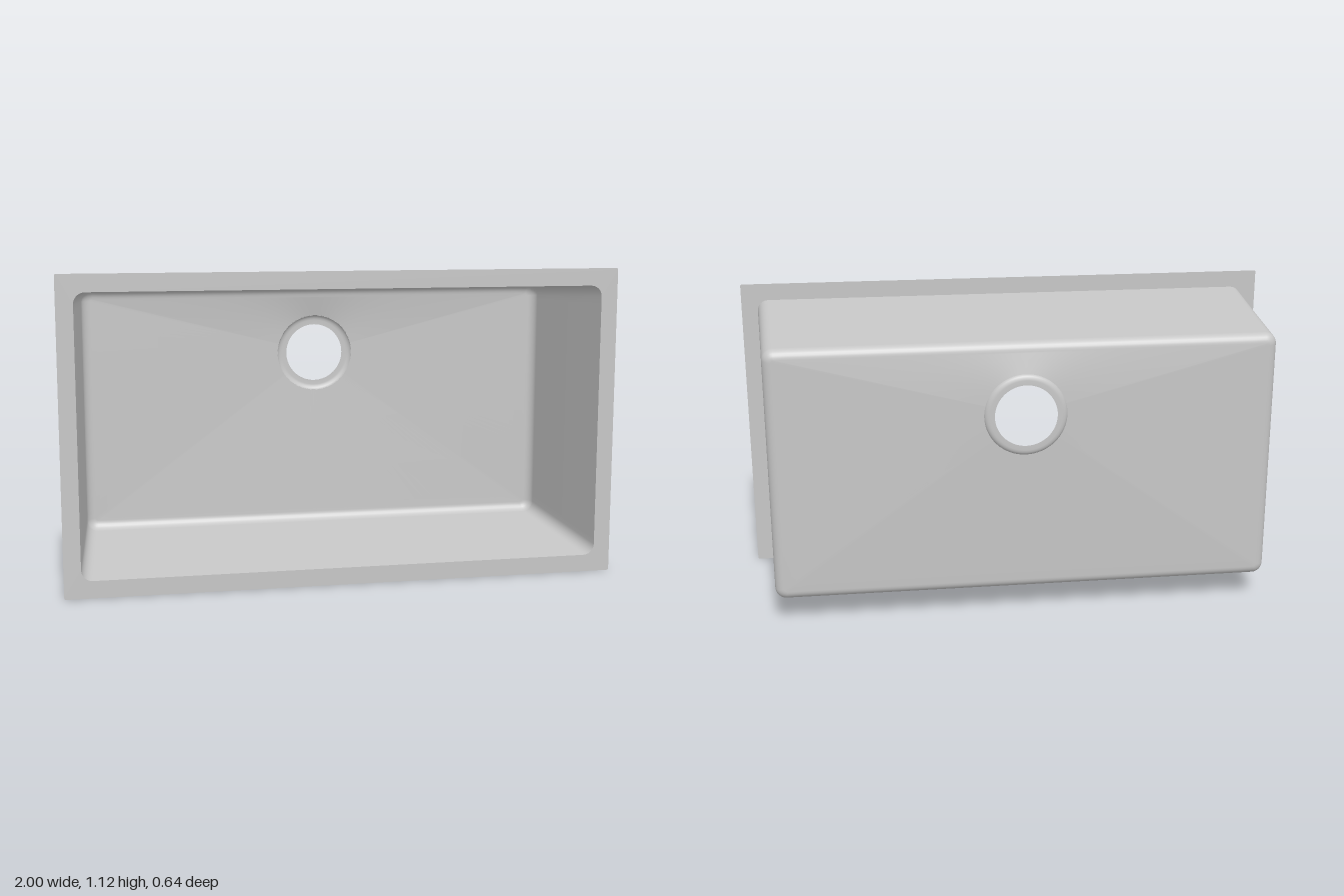
import * as THREE from 'three';

const CY = 0.5625;                       // centre height of the rim
const FRONT = 0.32;                      // plane of the rim
const DRAIN = { y: 0.77, r: 0.147, z: -0.309 };

// Rounded rectangle, counter-clockwise, with subdivided straight edges
function roundedLoop(hw, hh, r, arcSteps = 6, edgeSteps = 40) {
  const pts = [];
  const corners = [[1, 1], [-1, 1], [-1, -1], [1, -1]];
  corners.forEach(([sx, sy], k) => {
    for (let i = 0; i <= arcSteps; i++) {
      const a = (k + i / arcSteps) * Math.PI / 2;
      pts.push(new THREE.Vector2(sx * (hw - r) + r * Math.cos(a), CY + sy * (hh - r) + r * Math.sin(a)));
    }
    const [nx, ny] = corners[(k + 1) % 4];
    const a = (k + 1) * Math.PI / 2;
    const from = pts[pts.length - 1];
    const to = new THREE.Vector2(nx * (hw - r) + r * Math.cos(a), CY + ny * (hh - r) + r * Math.sin(a));
    for (let i = 1; i < edgeSteps; i++) pts.push(from.clone().lerp(to, i / edgeSteps));
  });
  return pts;
}

// Skin a list of equal-length closed loops
function loft(loops) {
  const n = loops[0].length, pos = [], idx = [];
  loops.forEach(loop => loop.forEach(p => pos.push(p.x, p.y, p.z)));
  for (let i = 0; i < loops.length - 1; i++) {
    for (let j = 0; j < n; j++) {
      const a = i * n + j, b = i * n + (j + 1) % n;
      idx.push(a, b, a + n, b, b + n, a + n);
    }
  }
  const g = new THREE.BufferGeometry();
  g.setAttribute('position', new THREE.Float32BufferAttribute(pos, 3));
  g.setIndex(idx);
  g.computeVertexNormals();
  return g;
}

export function createModel() {
  const group = new THREE.Group();
  const steel = new THREE.MeshStandardMaterial({ color: 0xc6c6c6, side: THREE.DoubleSide });
  steel.name = 'brushed steel';
  const add = (name, geometry) => {
    const mesh = new THREE.Mesh(geometry, steel);
    mesh.name = name;
    group.add(mesh);
    return mesh;
  };

  // Flat sheet rim around the opening
  const rim = new THREE.Shape(roundedLoop(1, 0.5625, 0.006, 3, 1));
  rim.holes.push(new THREE.Path(roundedLoop(0.94, 0.5, 0.04, 6, 1).reverse()));
  add('rim', new THREE.ShapeGeometry(rim)).position.z = FRONT;

  // Tapered walls, rounded bottom edge: [inset, z, corner radius]
  const rows = [[0, FRONT, 0.04], [0.018, 0.03, 0.04]];
  const fillet = 0.034;
  for (let i = 0; i <= 7; i++) {
    const a = i / 7 * Math.PI / 2;
    rows.push([0.035 + fillet * (1 - Math.cos(a)), -0.258 - fillet * Math.sin(a),
      0.04 - 0.03 * (1 - Math.cos(a))]);
  }
  const loops = rows.map(([inset, z, r]) =>
    roundedLoop(0.94 - inset, 0.5 - inset, r).map(p => new THREE.Vector3(p.x, p.y, z)));

  // Bottom panel falling from its edge to the round drain
  const edge = loops[loops.length - 1];
  const circle = edge.map(p => {
    const d = new THREE.Vector2(p.x, p.y - DRAIN.y).setLength(DRAIN.r);
    return new THREE.Vector3(d.x, DRAIN.y + d.y, DRAIN.z);
  });
  for (const t of [0.06, 0.35, 0.7, 1]) loops.push(edge.map((p, i) => p.clone().lerp(circle[i], t)));
  add('basin', loft(loops));

  // Recessed drain seat with an open hole
  const seat = [[0.148, -0.308], [0.146, -0.312], [0.142, -0.3165], [0.136, -0.3195], [0.128, -0.321], [0.111, -0.321]];
  const drain = new THREE.LatheGeometry(seat.map(p => new THREE.Vector2(...p)), 64);
  drain.rotateX(Math.PI / 2);
  add('drainSeat', drain).position.y = DRAIN.y;

  return group;
}
